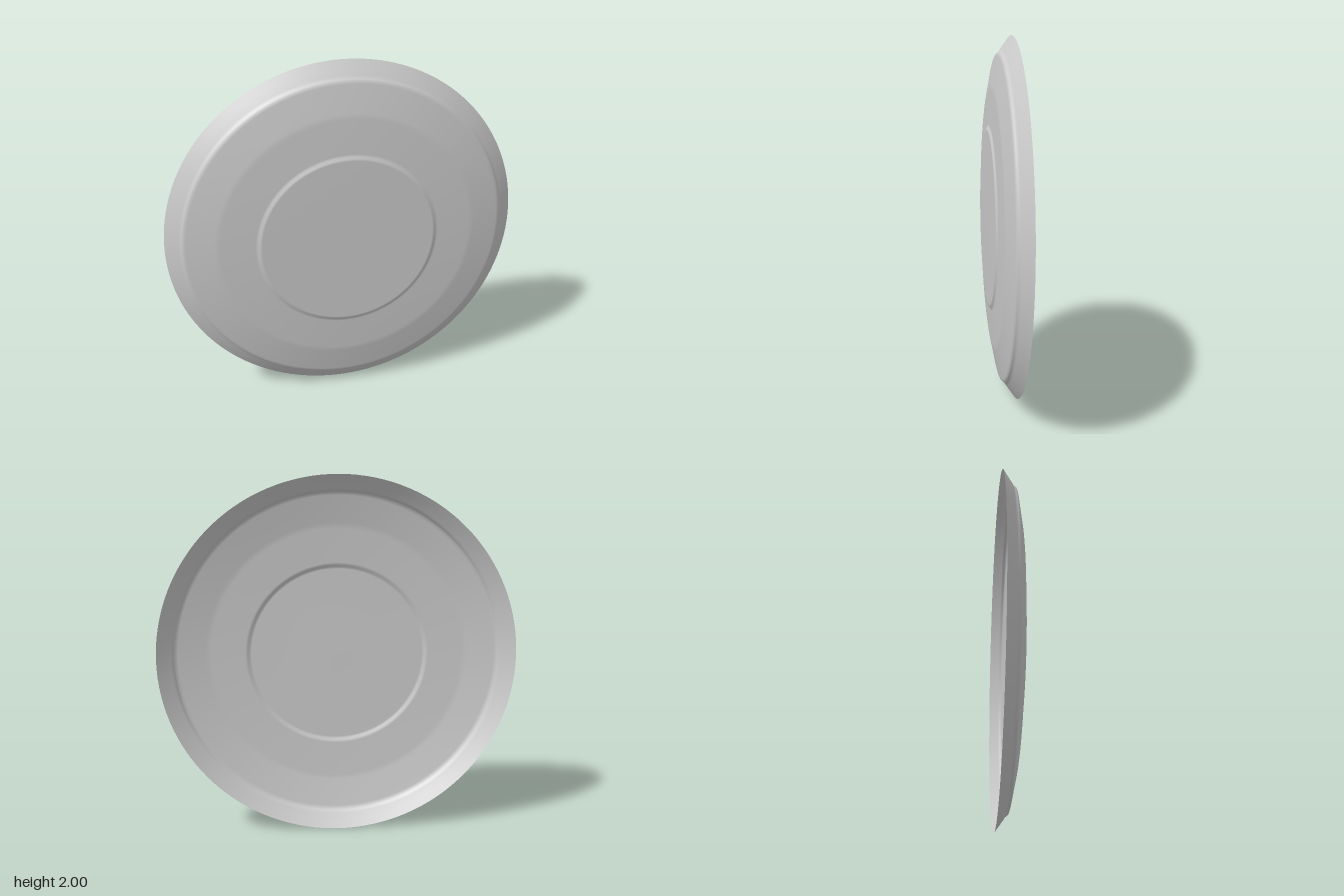
import * as THREE from 'three';

// Cross-section as [radius, depth], from the outer rim to the centre
const PROFILE = [
  [1.0, -0.065], [0.965, -0.04], [0.928, -0.014], [0.918, -0.009],   // flared lip
  [0.912, 0.0], [0.905, 0.008], [0.89, 0.012],                       // rounded shoulder
  [0.74, 0.041], [0.71, 0.045],                                      // sloping wall
  [0.52, 0.054], [0.507, 0.055],                                     // shallow floor ring
  [0.497, 0.064], [0.485, 0.065], [0, 0.065],                        // raised centre disc
];

export function createModel() {
  const group = new THREE.Group();
  group.name = 'plate';

  // Thin shell turned around the z axis, standing on its rim
  const points = PROFILE.map(([r, z]) => new THREE.Vector2(r, z));
  const geometry = new THREE.LatheGeometry(points, 128);
  geometry.rotateX(Math.PI / 2);

  const material = new THREE.MeshStandardMaterial({ color: 0xcccccc, side: THREE.DoubleSide });
  const shell = new THREE.Mesh(geometry, material);
  shell.name = 'plateShell';
  shell.position.y = 1;
  group.add(shell);
  return group;
}
